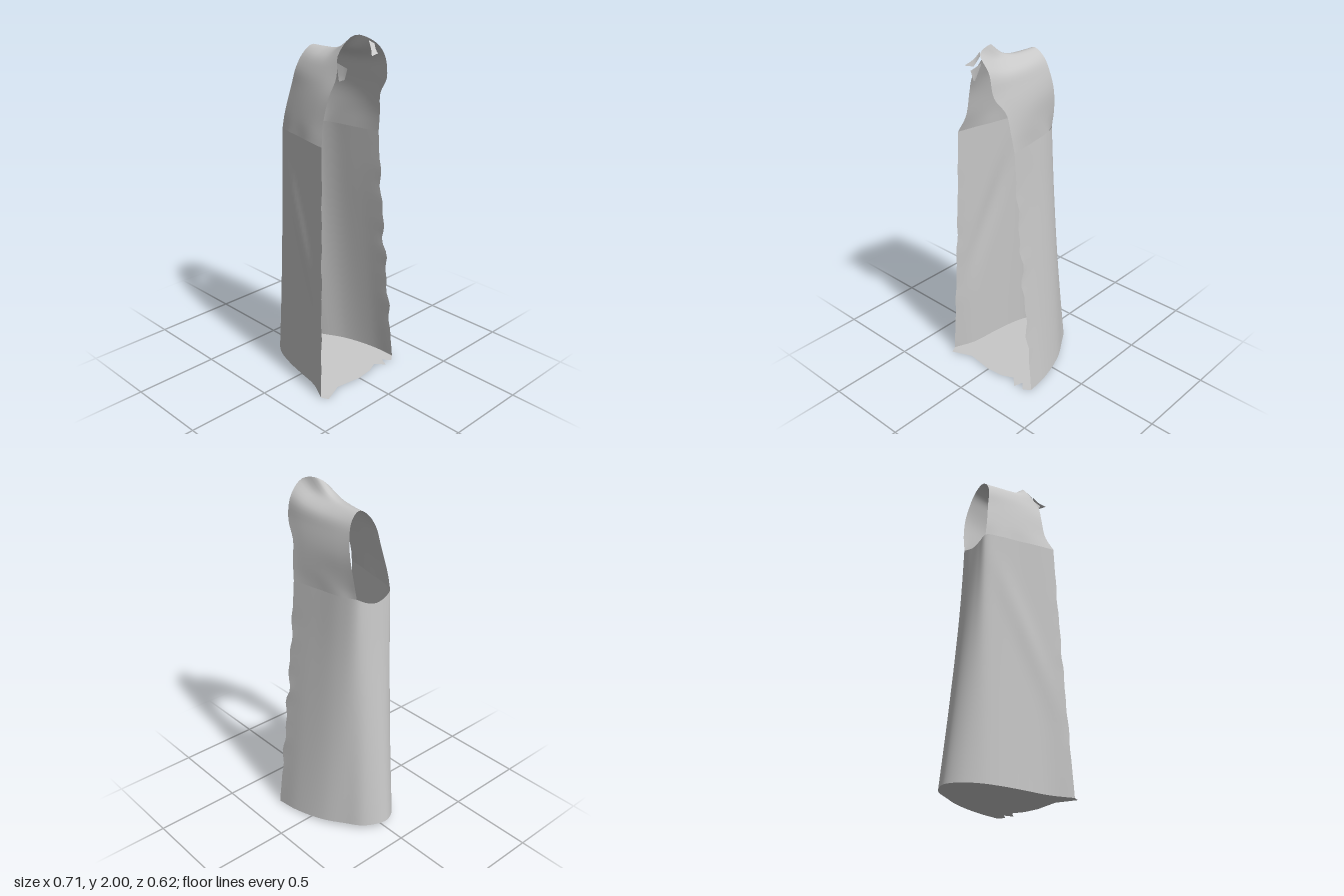
import * as THREE from 'three';

const V = (x, y, z) => new THREE.Vector3(x, y, z);
const lerp = THREE.MathUtils.lerp;
const curve = pts => new THREE.CatmullRomCurve3(pts, false, 'centripetal');
const hemY = x => Math.max(0, 0.014 - 0.05 * x);

// Smooth surface through rows of control points.
function loft(rows, nu, nv, adjust) {
  const curves = rows.map(curve);
  const columns = [];
  for (let i = 0; i <= nu; i++) columns.push(curve(curves.map(c => c.getPoint(i / nu))));
  const pos = [], index = [], w = nu + 1;
  for (let j = 0; j <= nv; j++) {
    for (let i = 0; i <= nu; i++) {
      const p = columns[i].getPoint(j / nv);
      if (adjust) adjust(p, i / nu, j / nv);
      pos.push(p.x, p.y, p.z);
      if (i < nu && j < nv) {
        const a = j * w + i;
        index.push(a, a + w, a + 1, a + 1, a + w, a + w + 1);
      }
    }
  }
  const g = new THREE.BufferGeometry();
  g.setAttribute('position', new THREE.Float32BufferAttribute(pos, 3));
  g.setIndex(index);
  g.computeVertexNormals();
  return g;
}

// Yoke row from the open edge to the armhole: slightly bulged, rising at the neck.
function yokeRow([y, edgeX, edgeZ, armX, armZ, rise]) {
  return [1, 0.75, 0.5, 0.25, 0].map(k => V(
    lerp(armX, edgeX, k),
    y + rise * k ** 4,
    lerp(armZ, edgeZ, k) + Math.sign(armZ) * 0.04 * k * (1 - k)));
}

export function createModel() {
  const cloth = new THREE.MeshStandardMaterial({ color: 0xc8c8c8, side: THREE.DoubleSide });
  cloth.name = 'grey cloth';
  const group = new THREE.Group();
  group.name = 'halfTunic';
  const add = (name, geometry) => {
    const m = new THREE.Mesh(geometry, cloth);
    m.name = name;
    group.add(m);
  };

  // Plan sections [x, z] from the front edge round the side to the back edge
  const hem = [[0.26, 0.3], [0.14, 0.245], [0, 0.222], [-0.12, 0.2], [-0.24, 0.16], [-0.325, 0.09],
    [-0.355, 0.01], [-0.3, -0.11], [-0.2, -0.18], [-0.08, -0.25], [0.1, -0.305], [0.24, -0.32]];
  const chest = [[0.215, 0.247], [0.1, 0.225], [0, 0.2], [-0.12, 0.175], [-0.203, 0.145], [-0.212, 0.1],
    [-0.212, 0.04], [-0.207, -0.03], [-0.185, -0.08], [-0.1, -0.118], [0.05, -0.145], [0.22, -0.175]]
    // the chest line dips under the armhole
    .map(([x, z]) => V(x, 1.46 - (x < -0.18 ? 0.045 * Math.max(0, 1 - ((z - 0.04) / 0.11) ** 2) : 0), z));

  // Skirt: hem blended into chest, with a ragged back edge and a soft drape fold
  const skirtRows = [0, 0.2, 0.4, 0.6, 0.8, 1].map(t => {
    const s = Math.pow(1 - t, 1.15);
    return chest.map((c, i) => V(
      lerp(c.x, hem[i][0], s), lerp(hemY(hem[i][0]), c.y, t), lerp(c.z, hem[i][1], s)));
  });
  add('skirt', loft(skirtRows, 66, 36, (p, u, v) => {
    const fade = Math.sin(Math.PI * v);
    const edge = Math.pow(Math.abs(2 * u - 1), 24) * (u < 0.5 ? 0.003 : 0.009);
    p.x += edge * fade * (Math.sin(v * 31) + Math.sin(v * 53 + 1));
    if (u < 0.4) {
      const d = p.x - (0.2 - 0.36 * (p.y - 0.5) / 0.8);
      p.z += 0.012 * fade * Math.exp(-d * d / 0.004) * Math.sin(Math.PI * u / 0.4);
    }
  }));

  // Yoke: front panel up, over the shoulder, and down the back beside the armhole
  const yoke = [
    [1.55, 0.185, 0.213, -0.188, 0.138, 0],
    [1.7, 0.19, 0.175, -0.16, 0.112, 0],
    [1.8, 0.205, 0.135, -0.14, 0.095, 0],
    [1.875, 0.17, 0.085, -0.126, 0.052, 0.035],
    [1.91, 0.2, 0, -0.118, 0, 0.09],
    [1.9, 0.31, -0.03, -0.12, -0.035, 0.08],
    [1.86, 0.32, -0.1, -0.128, -0.072, 0.04],
    [1.79, 0.315, -0.125, -0.142, -0.095, -0.01],
    [1.69, 0.25, -0.148, -0.163, -0.107, -0.01],
    [1.57, 0.235, -0.165, -0.18, -0.098, 0],
  ].map(yokeRow);
  add('yoke', loft([chest.slice(0, 5), ...yoke, chest.slice(8).reverse()], 24, 48));

  // Torn flap at the nape and loose strip at the throat
  add('napeFlap', loft([
    [V(0.31, 1.97, -0.03), V(0.33, 1.94, -0.022), V(0.345, 1.925, -0.02)],
    [V(0.29, 1.985, -0.01), V(0.32, 1.95, 0.005), V(0.355, 1.92, 0.035)],
  ], 8, 3));
  add('throatStrip', loft([
    [V(0.23, 1.79, 0.1), V(0.205, 1.78, 0.115)],
    [V(0.25, 1.85, 0.1), V(0.17, 1.87, 0.1)],
  ], 2, 2));

  // Base panel closing the hem, with a ragged open edge
  const outline = curve(hem.map(([x, z]) => V(x, 0, z))).getPoints(66)
    .map(p => new THREE.Vector2(p.x, -p.z));
  const ragged = [[0.27, -0.28], [0.23, -0.24], [0.28, -0.22], [0.23, -0.17], [0.26, -0.1],
    [0.27, 0], [0.25, 0.16], [0.3, 0.28]];
  const base = new THREE.ShapeGeometry(new THREE.Shape(
    [...outline, ...ragged.map(([x, z]) => new THREE.Vector2(x, -z))]));
  base.rotateX(-Math.PI / 2);
  const bp = base.attributes.position;
  for (let i = 0; i < bp.count; i++) bp.setY(i, hemY(bp.getX(i)));
  base.computeVertexNormals();
  add('basePanel', base);

  return group;
}
